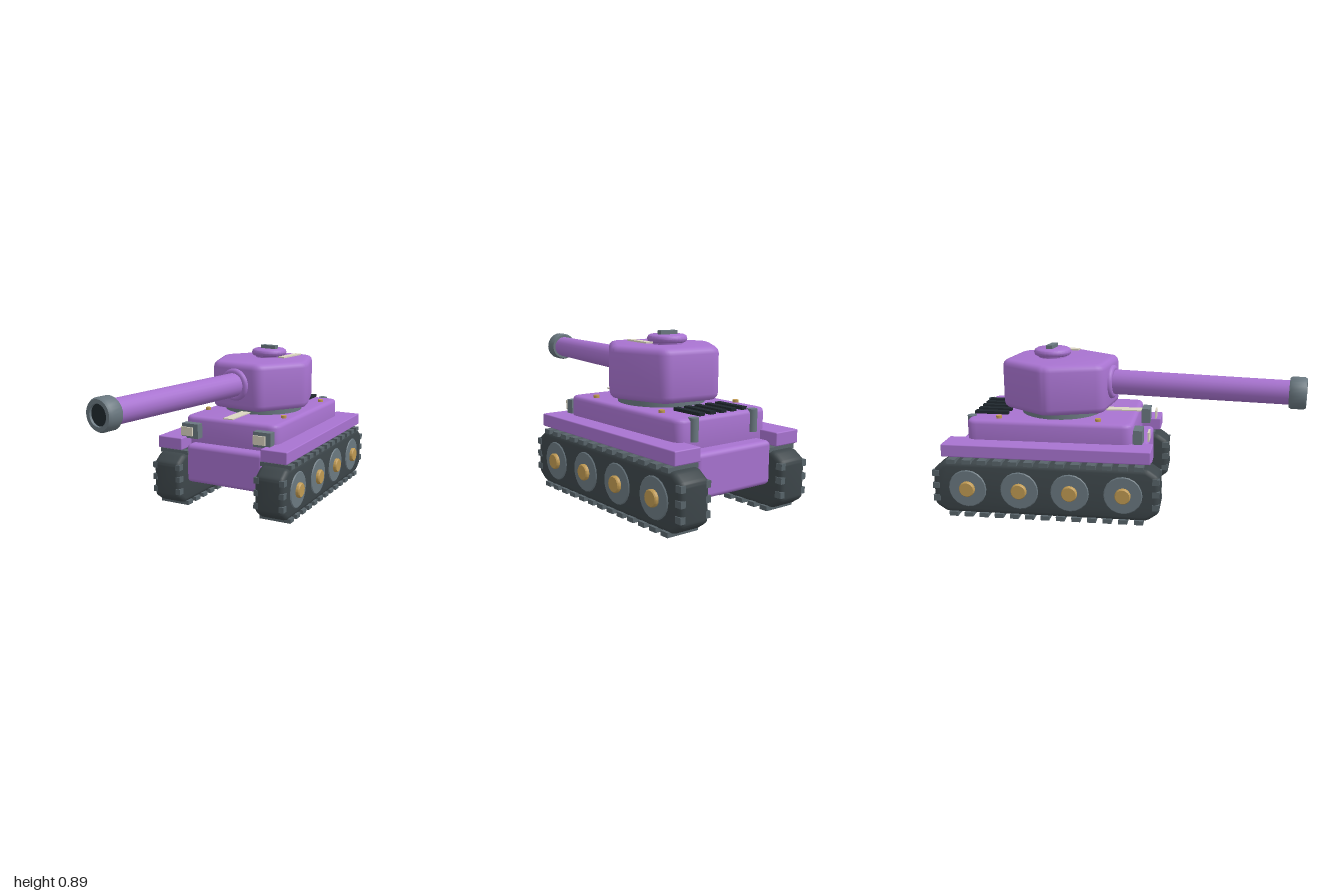
import * as THREE from 'three';
import { toCreasedNormals } from 'three/addons/utils/BufferGeometryUtils.js';
import { RoundedBoxGeometry } from 'three/addons/geometries/RoundedBoxGeometry.js';

const mat = (color) => new THREE.MeshStandardMaterial({ color });
const paint = mat(0xa873d0), tread = mat(0x3d464a), cleatGrey = mat(0x58646a), steel = mat(0x6a7880);
const brass = mat(0xc09a52), cream = mat(0xdcd6c2), dark = mat(0x20282e);

function add(parent, name, geometry, material, x = 0, y = 0, z = 0) {
  const mesh = new THREE.Mesh(geometry, material);
  mesh.name = name;
  mesh.position.set(x, y, z);
  parent.add(mesh);
  return mesh;
}

const box = (w, h, d) => new THREE.BoxGeometry(w, h, d);
const cyl = (r, h, n = 24) => new THREE.CylinderGeometry(r, r, h, n);
const lathe = (pts, n = 28) => toCreasedNormals(
  new THREE.LatheGeometry(pts.map(([r, y]) => new THREE.Vector2(r, y)), n), 0.7);

// Polygon outline whose corners are rounded by cutting back a distance r
function roundedPoly(points, r) {
  const v = points.map(([x, y]) => new THREE.Vector2(x, y));
  const n = v.length;
  const shape = new THREE.Shape();
  v.forEach((p, i) => {
    const toward = (q) => p.clone().add(q.clone().sub(p).setLength(r));
    const a = toward(v[(i + n - 1) % n]), b = toward(v[(i + 1) % n]);
    if (i === 0) shape.moveTo(a.x, a.y); else shape.lineTo(a.x, a.y);
    shape.quadraticCurveTo(p.x, p.y, b.x, b.y);
  });
  shape.closePath();
  return shape;
}

// Bevelled slab of the given full thickness, centred on its own depth
function slab(shape, thickness, bevel) {
  const g = new THREE.ExtrudeGeometry(shape, {
    depth: thickness - 2 * bevel, bevelThickness: bevel, bevelSize: bevel,
    bevelOffset: -bevel, bevelSegments: 3, curveSegments: 5,
  });
  g.translate(0, 0, -(thickness - 2 * bevel) / 2);
  return toCreasedNormals(g, 0.6);
}

function buildHull(parent) {
  const hull = new THREE.Group();
  hull.name = 'hull';
  parent.add(hull);
  add(hull, 'lowerHull', new RoundedBoxGeometry(0.49, 0.225, 1.07, 3, 0.025), paint, 0, 0.2525, -0.38);
  const plan = roundedPoly([[-0.297, -0.46], [0.297, -0.46], [0.297, 0.46], [-0.297, 0.46]], 0.06);
  add(hull, 'upperHull', slab(plan, 0.19, 0.022).rotateX(Math.PI / 2), paint, 0, 0.42, -0.373);
  add(hull, 'turretRing', cyl(0.23, 0.05, 32), steel, 0, 0.53, -0.35);
  add(hull, 'hullStripe', box(0.06, 0.006, 0.22), cream, 0, 0.527, -0.005);

  // Engine deck vents
  for (let i = -2; i <= 2; i++)
    add(hull, 'engineVent', box(0.034, 0.016, 0.19), dark, i * 0.07 - 0.004, 0.524, -0.725);

  for (const s of [-1, 1]) {
    add(hull, 'fender', new RoundedBoxGeometry(0.157, 0.07, 1.135, 2, 0.006), paint, s * 0.329, 0.371, -0.373);
    add(hull, 'headlightHousing', box(0.105, 0.085, 0.05), steel, s * 0.229, 0.44, 0.112);
    add(hull, 'headlightLens', box(0.074, 0.05, 0.01), cream, s * 0.229, 0.445, 0.169);
    add(hull, 'exhaustPipe', cyl(0.026, 0.115, 12), steel, s * 0.196, 0.46, -0.825);
    for (const z of [-0.655, -0.105])
      add(hull, 'deckBolt', cyl(0.016, 0.014, 12), brass, s * 0.248, 0.527, z);
  }
}

function buildTrack(parent, side) {
  const track = new THREE.Group();
  track.name = side > 0 ? 'leftTrack' : 'rightTrack';
  parent.add(track);
  const x = side * 0.325, mid = -0.375;

  // Belt with cut corners
  const L = 0.618, c = 0.065, lo = 0.018, hi = 0.308;
  const outline = roundedPoly([[-L + c, lo], [L - c, lo], [L, lo + c * 0.7], [L, hi - c * 0.7],
    [L - c, hi], [-L + c, hi], [-L, hi - c * 0.7], [-L, lo + c * 0.7]], 0.02);
  add(track, 'belt', slab(outline, 0.172, 0.025).rotateY(-Math.PI / 2), tread, x, 0, mid);

  // Cleats along the bottom and top runs
  for (let i = -6; i <= 6; i++)
    for (const y of [0.012, 0.313])
      add(track, 'cleat', box(0.186, 0.024, 0.048), cleatGrey, x, y, mid + i * 0.085);

  // Small lugs on the two ends
  for (const end of [-1, 1])
    for (const y of [0.1, 0.173, 0.243])
      for (const e of [-1, 1])
        add(track, 'endLug', box(0.029, 0.033, 0.038), cleatGrey, x + e * 0.0755, y, mid + end * 0.6);

  // Road wheels with hubs on the outer face
  for (const z of [0.05, -0.237, -0.513, -0.8]) {
    const wheel = add(track, 'roadWheel', lathe([[0, -0.02], [0.108, -0.02], [0.108, 0.012], [0.1, 0.02], [0, 0.02]], 20),
      steel, side * 0.396, 0.162, z);
    wheel.rotation.z = -side * Math.PI / 2;
    const hub = add(track, 'wheelHub', lathe([[0, -0.02], [0.043, -0.02], [0.043, 0.012], [0.038, 0.018], [0, 0.018]], 16),
      brass, side * 0.418, 0.162, z);
    hub.rotation.z = -side * Math.PI / 2;
  }
}

function buildTurret(parent) {
  const turret = new THREE.Group();
  turret.name = 'turret';
  turret.position.set(0, 0, -0.352);
  turret.rotation.y = -0.143;
  parent.add(turret);

  // Six-sided body with softened edges
  const plan = roundedPoly([[0.308, 0], [0.16, 0.298], [-0.16, 0.298],
    [-0.308, 0], [-0.16, -0.298], [0.16, -0.298]], 0.045);
  add(turret, 'turretBody', slab(plan, 0.275, 0.035).rotateX(Math.PI / 2), paint, 0, 0.6825, 0);

  // Hatch, handle and stripe on the roof
  add(turret, 'hatch', lathe([[0, 0], [0.09, 0], [0.1, 0.006], [0.105, 0.02], [0.1, 0.034], [0.088, 0.041], [0, 0.041]]),
    paint, 0, 0.829, -0.052);
  add(turret, 'hatchBase', cyl(0.08, 0.02), paint, 0, 0.823, -0.052);
  add(turret, 'hatchHandle', box(0.1, 0.022, 0.036), steel, 0, 0.879, -0.055);
  add(turret, 'roofStripe', box(0.04, 0.008, 0.19), cream, 0.155, 0.838, -0.041);

  // Gun: collar, barrel and hollow muzzle
  const gun = new THREE.Group();
  gun.name = 'gun';
  gun.position.y = 0.695;
  turret.add(gun);
  add(gun, 'gunCollar', new THREE.TorusGeometry(0.074, 0.02, 10, 28), paint, 0, 0, 0.298);
  const barrel = add(gun, 'barrel', new THREE.CylinderGeometry(0.064, 0.069, 1.04, 24), paint, 0, 0, 0.77);
  barrel.rotation.x = Math.PI / 2;
  const muzzle = add(gun, 'muzzle', lathe([[0.06, 0], [0.078, 0], [0.085, 0.01], [0.085, 0.075],
    [0.077, 0.088], [0.056, 0.088], [0.054, 0.07]]), steel, 0, 0, 1.269);
  muzzle.rotation.x = Math.PI / 2;
  add(gun, 'bore', new THREE.CircleGeometry(0.056, 24), dark, 0, 0, 1.345);
}

export function createModel() {
  const model = new THREE.Group();
  model.name = 'tank';
  buildHull(model);
  for (const side of [-1, 1]) buildTrack(model, side);
  buildTurret(model);
  return model;
}
